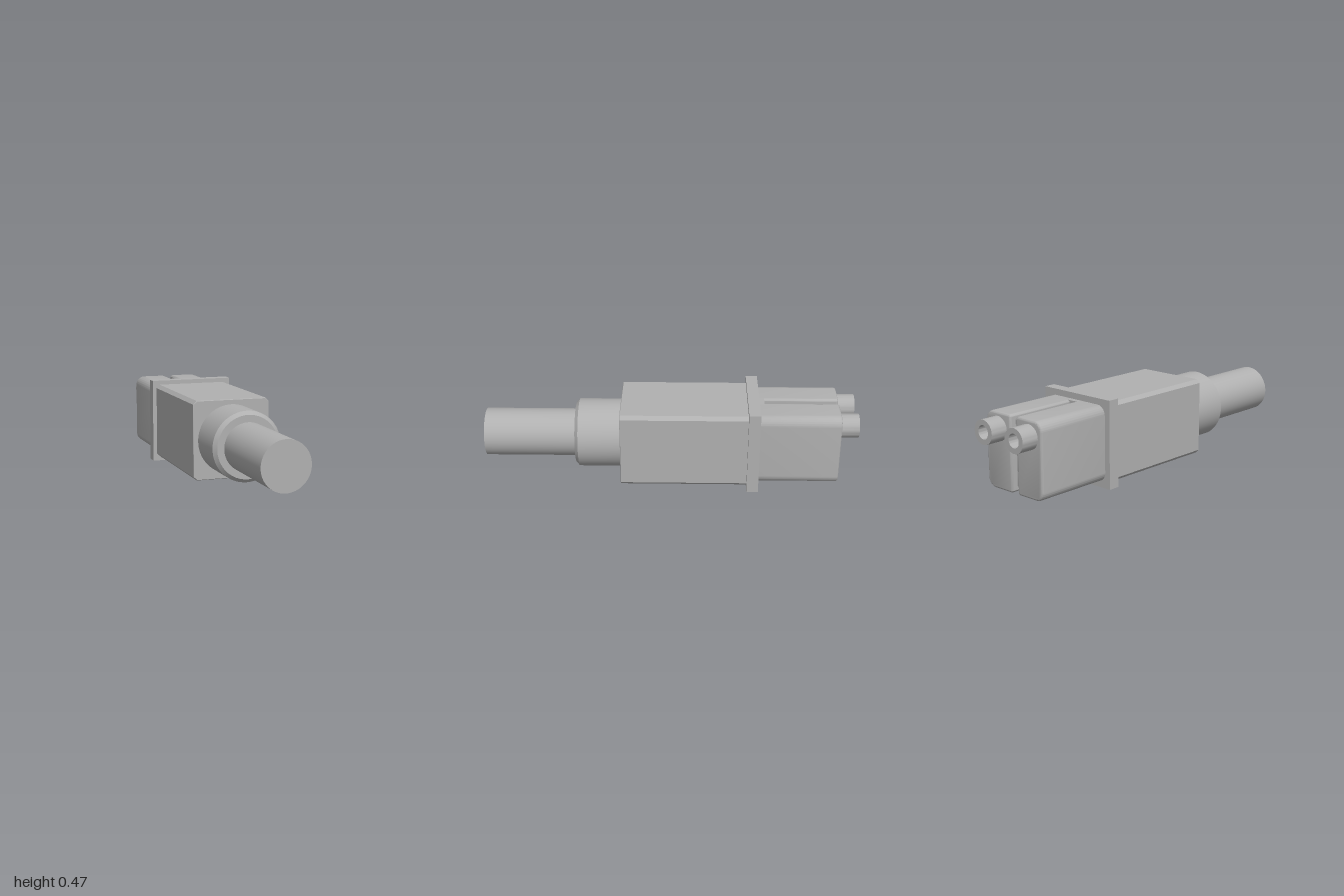
import * as THREE from 'three';
import { toCreasedNormals } from 'three/addons/utils/BufferGeometryUtils.js';

const AXIS_Y = 0.233; // height of the long axis

export function createModel() {
  const group = new THREE.Group();
  const grey = new THREE.MeshStandardMaterial({ color: 0xb0b0b0 });
  grey.name = 'plain grey';

  const add = (name, geometry, x = 0, y = AXIS_Y, z = 0) => {
    const mesh = new THREE.Mesh(geometry, grey);
    mesh.name = name;
    mesh.position.set(x, y, z);
    group.add(mesh);
    return mesh;
  };

  // Turned part along z from [radius, z] pairs
  const turned = (points, sides = 64) => {
    const g = new THREE.LatheGeometry(points.map(([r, z]) => new THREE.Vector2(r, z)), sides);
    return toCreasedNormals(g.rotateX(Math.PI / 2), 0.5);
  };

  // Block along z from an xy outline, with a small bevel inside its bounds
  const block = (shape, z0, z1, bevel, steps) => {
    const g = new THREE.ExtrudeGeometry(shape, {
      depth: z1 - z0 - 2 * bevel, bevelEnabled: true, bevelSize: bevel, bevelThickness: bevel,
      bevelOffset: -bevel, bevelSegments: steps, curveSegments: 10,
    });
    return toCreasedNormals(g.translate(0, 0, z0 + bevel), 0.6);
  };

  // Rectangle with its own corner radius on the left and right
  const roundRect = (x0, x1, h, rl, rr) => {
    const s = new THREE.Shape();
    s.absarc(x1 - rr, h - rr, rr, 0, Math.PI / 2);
    s.absarc(x0 + rl, h - rl, rl, Math.PI / 2, Math.PI);
    s.absarc(x0 + rl, rl - h, rl, Math.PI, Math.PI * 1.5);
    s.absarc(x1 - rr, rr - h, rr, Math.PI * 1.5, Math.PI * 2);
    s.closePath();
    return s;
  };

  // Cable and its round sleeve
  add('cable', turned([[0, 0.48], [0.128, 0.48], [0.128, 1], [0, 1]]));
  add('sleeve', turned([[0, 0.25], [0.184, 0.25], [0.184, 0.492], [0.165, 0.51], [0, 0.51]]));

  // Square body with chamfered long edges
  const a = 0.21, c = 0.019;
  const octagon = new THREE.Shape([
    [a, c - a], [a, a - c], [a - c, a], [c - a, a],
    [-a, a - c], [-a, c - a], [c - a, -a], [a - c, -a],
  ].map(([x, y]) => new THREE.Vector2(x, y)));
  add('body', block(octagon, -0.43, 0.265, 0.003, 1));

  // Flange
  add('flange', new THREE.BoxGeometry(0.464, 0.466, 0.062), 0, AXIS_Y, -0.444);

  // Twin plug housing, joined at the root and by a recessed web
  add('leftPlugHalf', block(roundRect(0.02, 0.2, 0.2, 0.014, 0.05), -0.905, -0.455, 0.012, 4));
  add('rightPlugHalf', block(roundRect(-0.2, -0.02, 0.2, 0.05, 0.014), -0.905, -0.455, 0.012, 4));
  add('plugRoot', new THREE.BoxGeometry(0.08, 0.4, 0.04), 0, AXIS_Y, -0.485);
  add('plugWeb', new THREE.BoxGeometry(0.05, 0.34, 0.4), 0, AXIS_Y, -0.67);

  // Hollow ferrules
  for (const [name, x] of [['leftFerrule', 0.111], ['rightFerrule', -0.111]]) {
    add(name, turned([[0, -0.908], [0.036, -0.908], [0.036, -1], [0.064, -1], [0.064, -0.89]], 40), x, 0.349);
  }
  return group;
}
